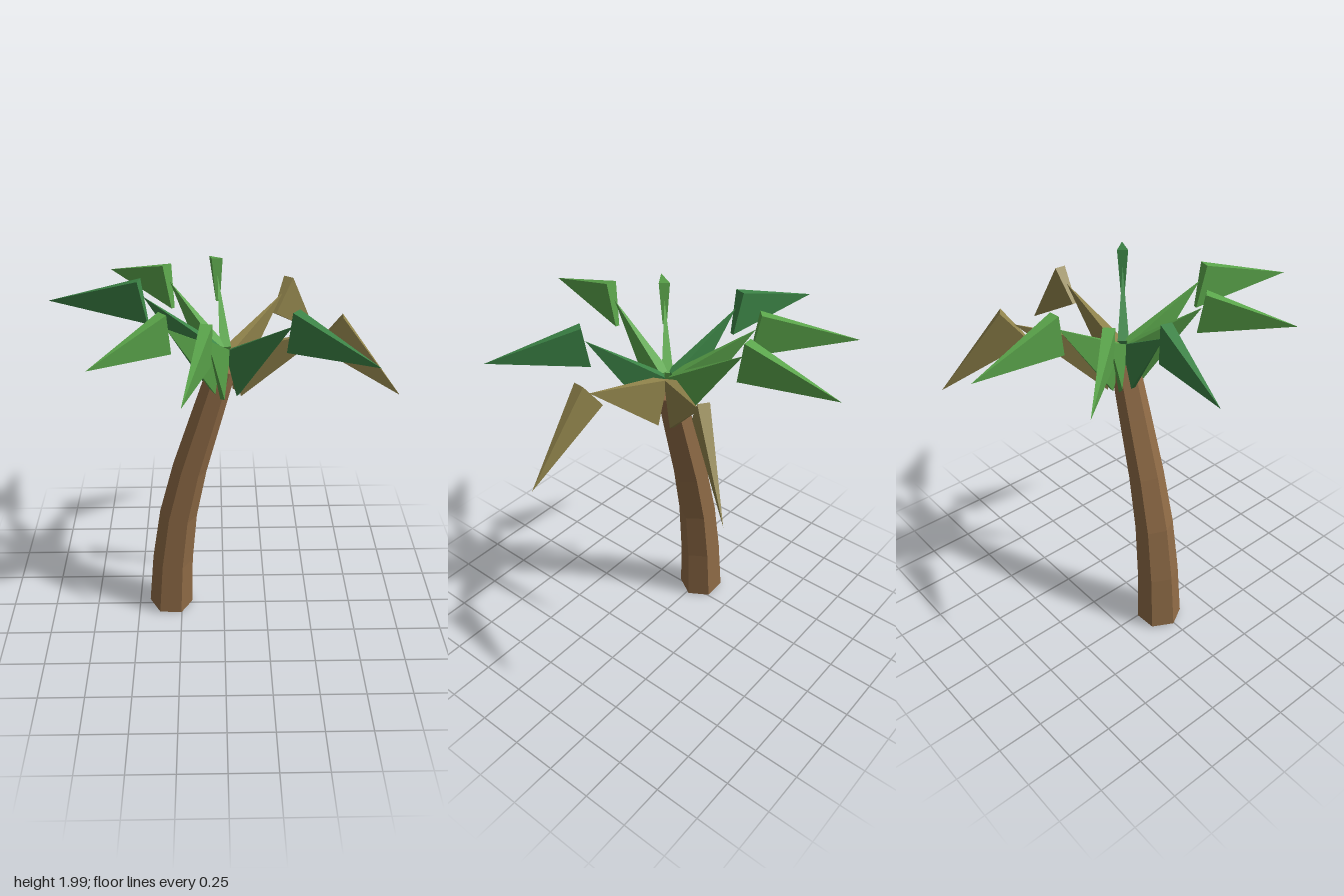
import * as THREE from 'three';
import { ConvexGeometry } from 'three/addons/geometries/ConvexGeometry.js';

const mat = (name, color) => {
  const m = new THREE.MeshStandardMaterial({ color });
  m.name = name;
  return m;
};

// Six-sided trunk: a cylinder whose rings follow a leaning curve
function trunkGeometry() {
  const curve = new THREE.CatmullRomCurve3([
    [-0.315, 0.015], [-0.295, 0.34], [-0.255, 0.655],
    [-0.185, 0.96], [-0.09, 1.28], [-0.005, 1.565],
  ].map(([x, y]) => new THREE.Vector3(x, y, -0.015)));
  const geo = new THREE.CylinderGeometry(1, 1, 1, 6, 5, false, Math.PI / 2);
  const pos = geo.attributes.position;
  for (let i = 0; i < pos.count; i++) {
    const t = THREE.MathUtils.clamp(pos.getY(i) + 0.5, 0, 1);
    const c = curve.getPoint(t), d = curve.getTangent(t);
    const r = THREE.MathUtils.lerp(0.125, 0.073, t);
    const u = pos.getX(i) * r, v = pos.getZ(i) * r;
    pos.setXYZ(i, c.x + d.y * u, c.y - d.x * u, c.z + v);
  }
  const flat = geo.toNonIndexed();
  flat.computeVertexNormals();
  return flat;
}

// Frond side profiles as [distance out, height]
const FRESH = {
  baseTop: [0.02, 1.67], baseBottom: [0.085, 1.425], joint: [0.425, 1.905],
  elbowTop: [0.445, 1.99], elbowBottom: [0.405, 1.765], tip: [0.94, 1.835],
};
const DRY = {
  baseTop: [0.03, 1.66], baseBottom: [0.08, 1.405], joint: [0.52, 1.79],
  elbowTop: [0.58, 1.862], elbowBottom: [0.45, 1.70], tip: [0.9, 1.435],
};

// Pyramid with an upright trapezoid end, wide at the top, and a pointed apex
function spike(top, bottom, apex, scale) {
  const p = ([r, y], z) =>
    new THREE.Vector3(r * scale, 1.6 + (y - 1.6) * (1 + scale) / 2, z);
  return new ConvexGeometry([
    p(top, 0.029), p(top, -0.029), p(bottom, 0.011), p(bottom, -0.011), p(apex, 0),
  ]);
}

function frond(name, profile, tipX, tipZ, material) {
  const g = new THREE.Group();
  g.name = name;
  const ox = 0.01, oz = -0.01;
  const scale = Math.hypot(tipX - ox, tipZ - oz) / profile.tip[0];
  const add = (part, geo) => {
    const m = new THREE.Mesh(geo, material);
    m.name = part;
    g.add(m);
  };
  add('stalk', spike(profile.baseTop, profile.baseBottom, profile.joint, scale));
  add('blade', spike(profile.elbowTop, profile.elbowBottom, profile.tip, scale));
  g.position.set(ox, 0, oz);
  g.rotation.y = -Math.atan2(tipZ - oz, tipX - ox);
  return g;
}

export function createModel() {
  const bark = mat('bark', 0x8f6b46);
  const light = mat('lightGreen', 0x5ba64b);
  const dark = mat('darkGreen', 0x3c8446);
  const dry = mat('dryLeaf', 0x91844c);

  const model = new THREE.Group();
  model.name = 'palmTree';
  const trunk = new THREE.Mesh(trunkGeometry(), bark);
  trunk.name = 'trunk';
  model.add(trunk);

  // Fronds placed by where their tips reach in plan
  [
    ['frontFrond', FRESH, -0.19, 0.93, light],
    ['frontRightFrond', FRESH, -0.62, 0.55, light],
    ['rightFrond', FRESH, -0.9, -0.25, dark],
    ['backRightFrond', FRESH, -0.62, -0.71, light],
    ['backFrond', FRESH, -0.07, -0.93, light],
    ['frontLeftFrond', FRESH, 0.69, 0.55, dark],
    ['dryLeftFrond', DRY, 0.9, 0.06, dry],
    ['dryBackLeftFrond', DRY, 0.55, -0.76, dry],
  ].forEach((f) => model.add(frond(...f)));
  return model;
}
